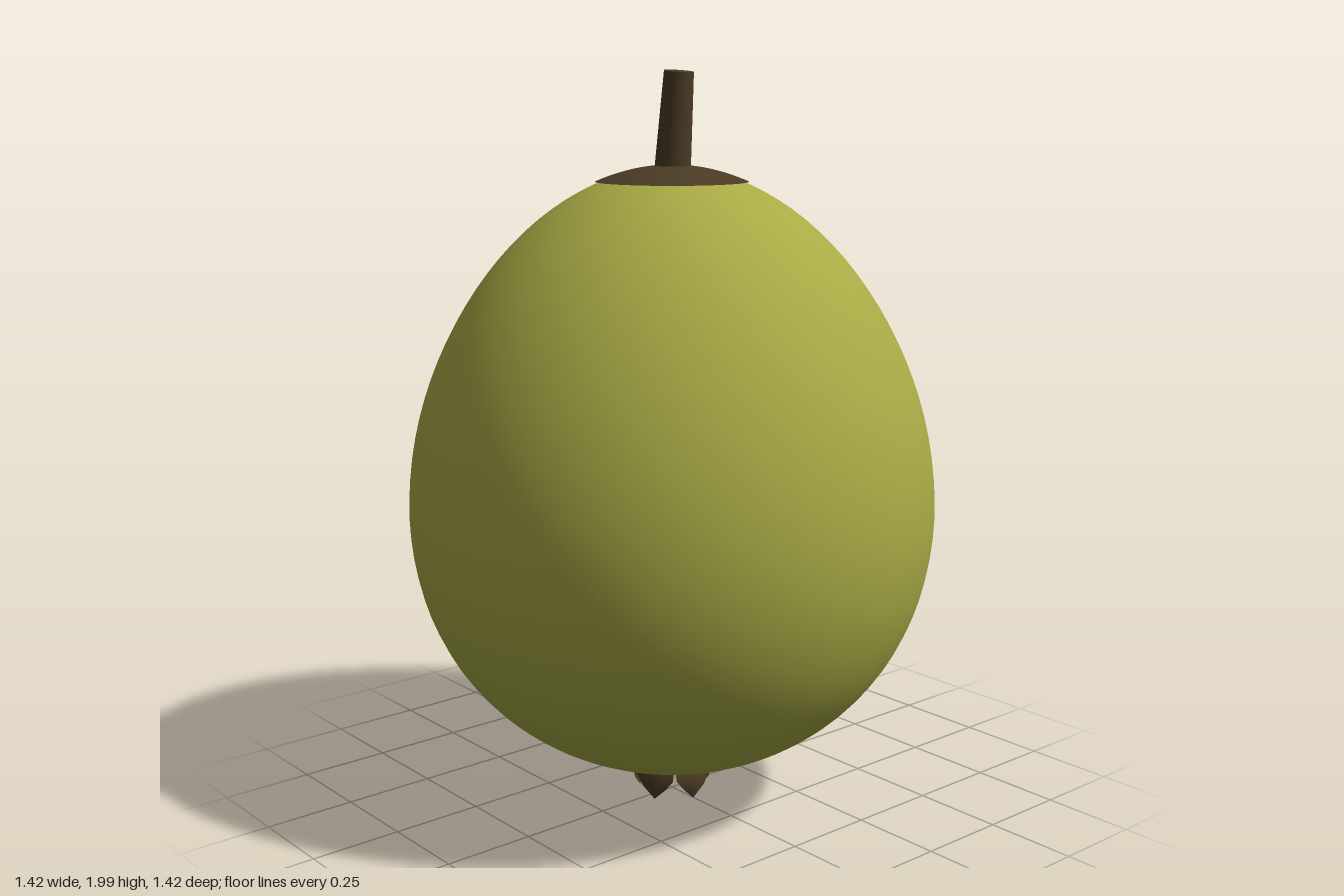
import * as THREE from 'three';

export function createModel() {
  const model = new THREE.Group();
  const skin = new THREE.MeshStandardMaterial({ color: 0xa8aa45 });
  skin.name = 'olive green skin';
  const bark = new THREE.MeshStandardMaterial({ color: 0x4b3b25, side: THREE.DoubleSide });
  bark.name = 'dark brown bark';

  const add = (name, geometry, material, parent = model) => {
    const mesh = new THREE.Mesh(geometry, material);
    mesh.name = name;
    parent.add(mesh);
    return mesh;
  };

  // Egg-shaped fruit, a sphere profile narrowed towards the top
  const profile = [];
  for (let i = 0; i <= 48; i++) {
    const a = (i / 48) * Math.PI;
    const t = -Math.cos(a);
    profile.push(new THREE.Vector2(0.7075 * Math.sin(a) * (1 - 0.113 * t), 0.93 + 0.82 * t));
  }
  add('fruitBody', new THREE.LatheGeometry(profile, 72), skin);

  // Shallow domed cap around the stem
  const dome = [];
  for (let i = 0; i <= 10; i++) {
    const r = 0.203 * (1 - i / 10);
    dome.push(new THREE.Vector2(r, 1.757 - 0.044 * (r / 0.203) ** 2));
  }
  add('stemCap', new THREE.LatheGeometry(dome, 48), bark);

  // Slightly leaning, tapered stem
  const stem = add('stem', new THREE.CylinderGeometry(0.039, 0.049, 0.28, 24), bark);
  stem.position.set(0.014, 1.858, 0);
  stem.rotation.z = -0.1;

  // Five pointed sepals in a ring underneath
  const calyx = new THREE.Group();
  calyx.name = 'calyx';
  model.add(calyx);
  // Each row: height, distance from the axis, half width
  const rows = [
    [0.125, 0.07, 0.035],
    [0.1, 0.1, 0.058],
    [0.07, 0.11, 0.06],
    [0.04, 0.107, 0.036],
    [0.008, 0.093, 0.001],
  ];
  const sepal = new THREE.PlaneGeometry(1, 1, 4, rows.length - 1);
  const p = sepal.attributes.position;
  for (let i = 0; i < p.count; i++) {
    const [y, r, w] = rows[Math.floor(i / 5)];
    const side = ((i % 5) - 2) / 2;
    p.setXYZ(i, side * w, y, r - 0.018 * side * side * (w / 0.06));
  }
  sepal.computeVertexNormals();
  for (let i = 0; i < 5; i++) {
    add('sepal', sepal, bark, calyx).rotation.y = Math.PI / 2 + (i * Math.PI * 2) / 5;
  }

  return model;
}
